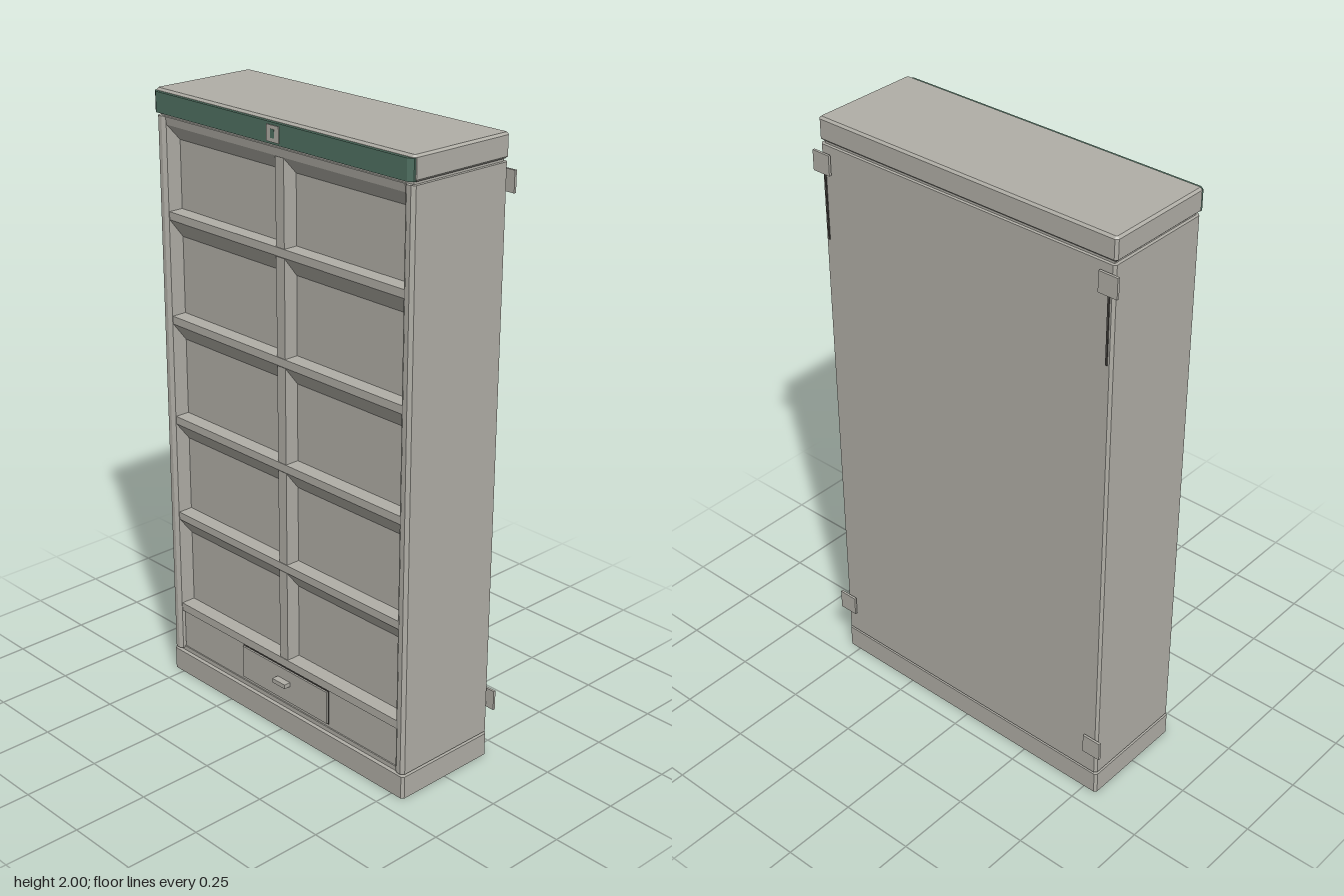
import * as THREE from 'three';

const body = new THREE.MeshStandardMaterial({ name: 'warm grey paint', color: 0xb0aea6 });
const green = new THREE.MeshStandardMaterial({ name: 'header green', color: 0x4f7061 });
const dark = new THREE.MeshStandardMaterial({ name: 'dark underside', color: 0x4a4743 });

const BACK = -0.19, FRONT = 0.185, NICHE = 0.125;

export function createModel() {
  const model = new THREE.Group();
  model.name = 'displayCabinet';

  function add(name, geometry, material = body) {
    const mesh = new THREE.Mesh(geometry, material);
    mesh.name = name;
    model.add(mesh);
    return mesh;
  }

  // Box given by its limits on each axis
  function box(name, x0, x1, y0, y1, z0, z1, material) {
    const g = new THREE.BoxGeometry(x1 - x0, y1 - y0, z1 - z0);
    g.translate((x0 + x1) / 2, (y0 + y1) / 2, (z0 + z1) / 2);
    return add(name, g, material);
  }

  const path = (points) => points.map(([x, z]) => new THREE.Vector2(x, -z));

  // Plan outline (x, z) raised from y0 to y1, with optional hole and bevel
  function raise(points, y0, y1, { hole, bevel = 0 } = {}) {
    const shape = new THREE.Shape(path(points));
    if (hole) shape.holes.push(new THREE.Path(path(hole)));
    const g = new THREE.ExtrudeGeometry(shape, {
      depth: y1 - y0 - 2 * bevel, bevelEnabled: bevel > 0, bevelSize: bevel,
      bevelThickness: bevel, bevelOffset: -bevel, bevelSegments: 1,
    });
    g.rotateX(-Math.PI / 2);
    return g.translate(0, y0 + bevel, 0);
  }

  // Rectangle with cut corners
  function cutRect(w, z0, z1, c) {
    return [[-w + c, z0], [w - c, z0], [w, z0 + c], [w, z1 - c],
      [w - c, z1], [-w + c, z1], [-w, z1 - c], [-w, z0 + c]];
  }

  // Side profile (z, y) stretched across the given width
  function stretch(points, width) {
    const shape = new THREE.Shape(points.map(([z, y]) => new THREE.Vector2(z, y)));
    const g = new THREE.ExtrudeGeometry(shape, { depth: width, bevelEnabled: false });
    g.rotateY(-Math.PI / 2);
    return g.translate(width / 2, 0, 0);
  }

  // Hollow plinth with a dark floor and levelling feet
  add('plinth', raise(cutRect(0.547, BACK, FRONT, 0.008), 0, 0.076,
    { hole: cutRect(0.533, BACK + 0.014, FRONT - 0.014, 0.006) }));
  box('plinthFloor', -0.535, 0.535, 0.05, 0.074, BACK + 0.012, FRONT - 0.012, dark);
  for (const x of [-0.48, 0.48]) {
    for (const z of [-0.14, 0.135]) {
      add('footStem', new THREE.CylinderGeometry(0.007, 0.007, 0.045, 12).translate(x, 0.03, z), dark);
      add('footPad', new THREE.CylinderGeometry(0.012, 0.016, 0.012, 16).translate(x, 0.006, z), dark);
    }
  }
  box('lowerJoint', -0.535, 0.535, 0.07, 0.09, BACK + 0.01, FRONT - 0.015);

  // Carcass: one U-shaped plan gives the back, sides and front stiles
  add('carcass', raise([
    [-0.537, BACK], [0.537, BACK], [0.545, BACK + 0.008], [0.545, FRONT - 0.01],
    [0.535, FRONT], [0.52, FRONT], [0.508, FRONT - 0.008], [0.508, NICHE],
    [-0.508, NICHE], [-0.508, FRONT - 0.008], [-0.52, FRONT], [-0.535, FRONT],
    [-0.545, FRONT - 0.01], [-0.545, BACK + 0.008],
  ], 0.084, 1.916));

  // Shelves with a sloping underside, and the matching top rail
  for (const y of [0.594, 0.935, 1.277, 1.618]) {
    add('shelf', stretch([[0.12, y], [0.175, y], [0.175, y - 0.026],
      [NICHE, y - 0.09], [0.12, y - 0.09]], 1.016));
  }
  add('topRail', stretch([[0.12, 1.916], [0.18, 1.916], [0.175, 1.89],
    [NICHE, 1.836], [0.12, 1.836]], 1.016));
  box('bottomShelf', -0.508, 0.508, 0.228, 0.256, 0.12, 0.175);
  box('divider', -0.018, 0.018, 0.25, 1.89, 0.12, 0.173);

  // Lower fascia with a drawer and pull
  box('lowerFascia', -0.504, 0.504, 0.092, 0.23, 0.12, 0.168);
  box('drawerSeam', -0.203, 0.203, 0.101, 0.222, 0.165, 0.169, dark);
  box('drawerFront', -0.199, 0.199, 0.105, 0.218, 0.165, 0.175);
  box('drawerPull', -0.029, 0.029, 0.165, 0.18, 0.17, 0.198);

  // Cornice with a chamfered header panel and plain badge
  box('upperJoint', -0.535, 0.535, 1.91, 1.93, BACK + 0.01, FRONT - 0.012);
  add('cornice', raise(cutRect(0.548, BACK, FRONT, 0.008), 1.925, 2, { bevel: 0.007 }));
  add('headerPanel', raise([[-0.546, 0.175], [0.546, 0.175], [0.546, FRONT],
    [0.53, 0.196], [-0.53, 0.196], [-0.546, FRONT]], 1.928, 1.992), green);
  box('badge', -0.026, 0.026, 1.935, 1.984, 0.192, 0.199);
  box('badgeInset', -0.008, 0.008, 1.947, 1.973, 0.195, 0.2, green);

  // Wall brackets and straps on the back
  for (const s of [-1, 1]) {
    for (const y of [0.197, 1.86]) {
      const plate = new THREE.BoxGeometry(0.065, 0.066, 0.008);
      add('wallBracket', plate.translate(s * 0.532, y, -0.199));
      const tab = new THREE.BoxGeometry(0.02, 0.04, 0.01);
      add('bracketTab', tab.translate(s * 0.515, y, -0.191));
    }
    const strap = new THREE.BoxGeometry(0.006, 0.23, 0.004);
    add('backStrap', strap.translate(s * 0.528, 1.72, -0.191), dark);
  }

  return model;
}
